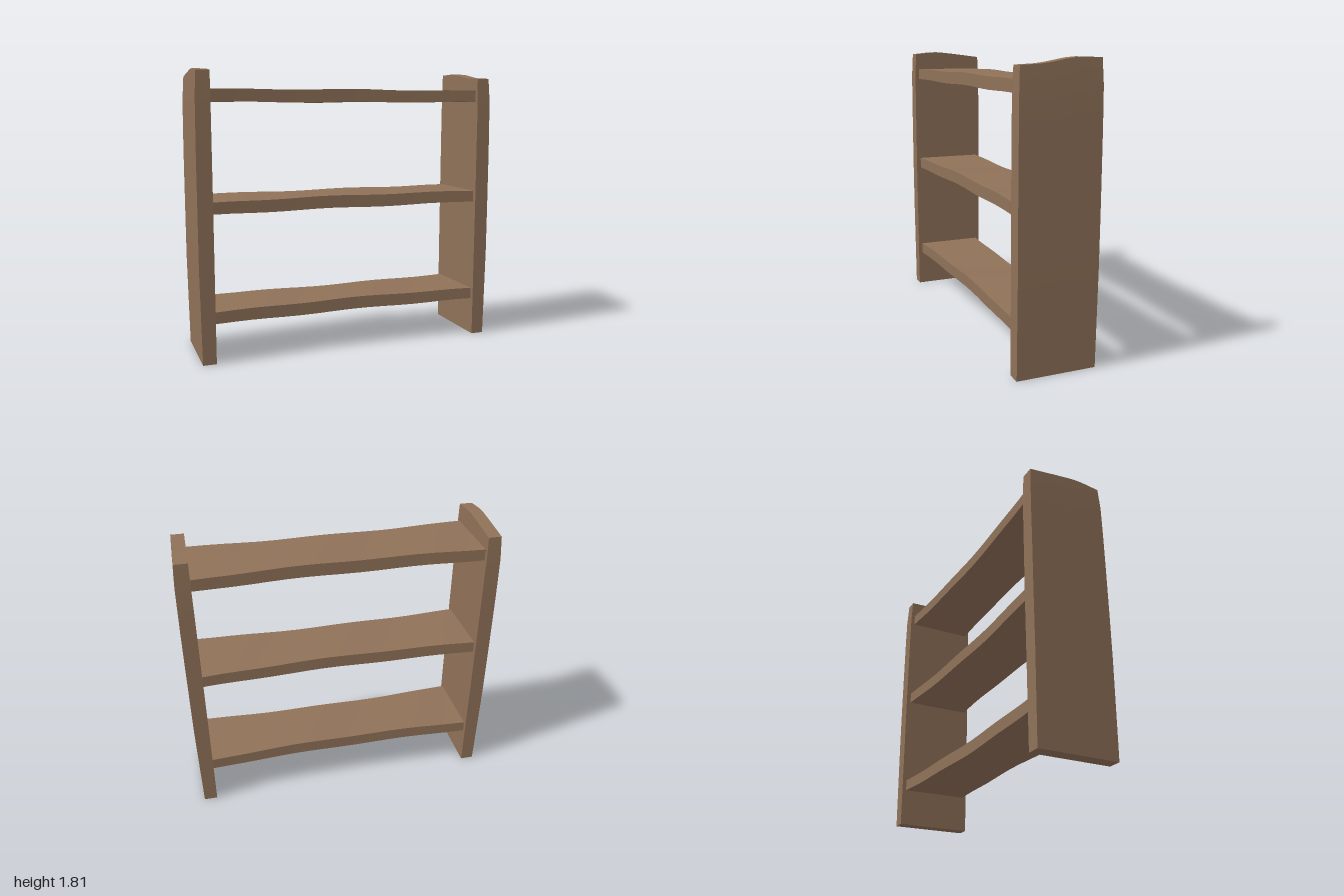
import * as THREE from 'three';

// Piecewise-linear lookup through [position, value] pairs in rising order
function sample(points, t) {
  if (t <= points[0][0]) return points[0][1];
  for (let i = 1; i < points.length; i++) {
    const [a, va] = points[i - 1], [b, vb] = points[i];
    if (t <= b) return va + (vb - va) * (t - a) / (b - a);
  }
  return points[points.length - 1][1];
}

// Subdivided box whose vertices are moved by a rule; box edges stay sharp
function shapedBox(name, size, segments, material, rule) {
  const geometry = new THREE.BoxGeometry(...size, ...segments);
  const position = geometry.attributes.position;
  const v = new THREE.Vector3();
  for (let i = 0; i < position.count; i++) {
    rule(v.fromBufferAttribute(position, i));
    position.setXYZ(i, v.x, v.y, v.z);
  }
  geometry.computeVertexNormals();
  const mesh = new THREE.Mesh(geometry, material);
  mesh.name = name;
  return mesh;
}

export function createModel() {
  const group = new THREE.Group();
  group.name = 'shelfUnit';
  const wood = new THREE.MeshStandardMaterial({ color: 0x8f7158 });
  wood.name = 'brownWood';

  // Side panels: slightly bowed outside, with an uneven hand-cut top
  const bow = [[0, 0.985], [0.3, 0.99], [0.6, 0.995], [1.3, 0.995], [1.65, 0.992], [1.8, 0.983]];
  const depth = [[0, 0.253], [0.9, 0.256], [1.62, 0.255], [1.8, 0.247]];
  const panels = [
    ['leftPanel', 1, [[-0.25, 1.805], [-0.1, 1.81], [-0.02, 1.797], [0.1, 1.775], [0.25, 1.768]]],
    ['rightPanel', -1, [[-0.25, 1.775], [-0.05, 1.8], [0.09, 1.815], [0.25, 1.798]]],
  ];
  for (const [name, side, top] of panels) {
    group.add(shapedBox(name, [0.09, 1.8, 0.5], [1, 12, 8], wood, (v) => {
      const t = (v.y + 0.9) / 1.8;
      const outer = v.x * side > 0;
      v.x = side * (outer ? sample(bow, t * 1.8) : 0.9);
      v.y = t * sample(top, v.z);
      v.z *= sample(depth, t * 1.8) / 0.25;
    }));
  }

  // Shelves: waisted in the middle, with gently wavy faces
  const shelves = [['bottomShelf', 0.285, 0], ['middleShelf', 0.971, 1.7], ['topShelf', 1.651, 0.4]];
  for (const [name, height, phase] of shelves) {
    group.add(shapedBox(name, [1.8, 0.074, 0.4], [16, 1, 2], wood, (v) => {
      const u = v.x / 0.9;
      const wave = 0.004 * Math.sin(u * 7 + phase + v.z * 5) * (1 - u ** 4);
      v.y += height + wave + Math.sign(v.y) * 0.003 * (1 - u * u);
      v.z *= (0.195 + 0.031 * u * u) / 0.2;
    }));
  }
  return group;
}
